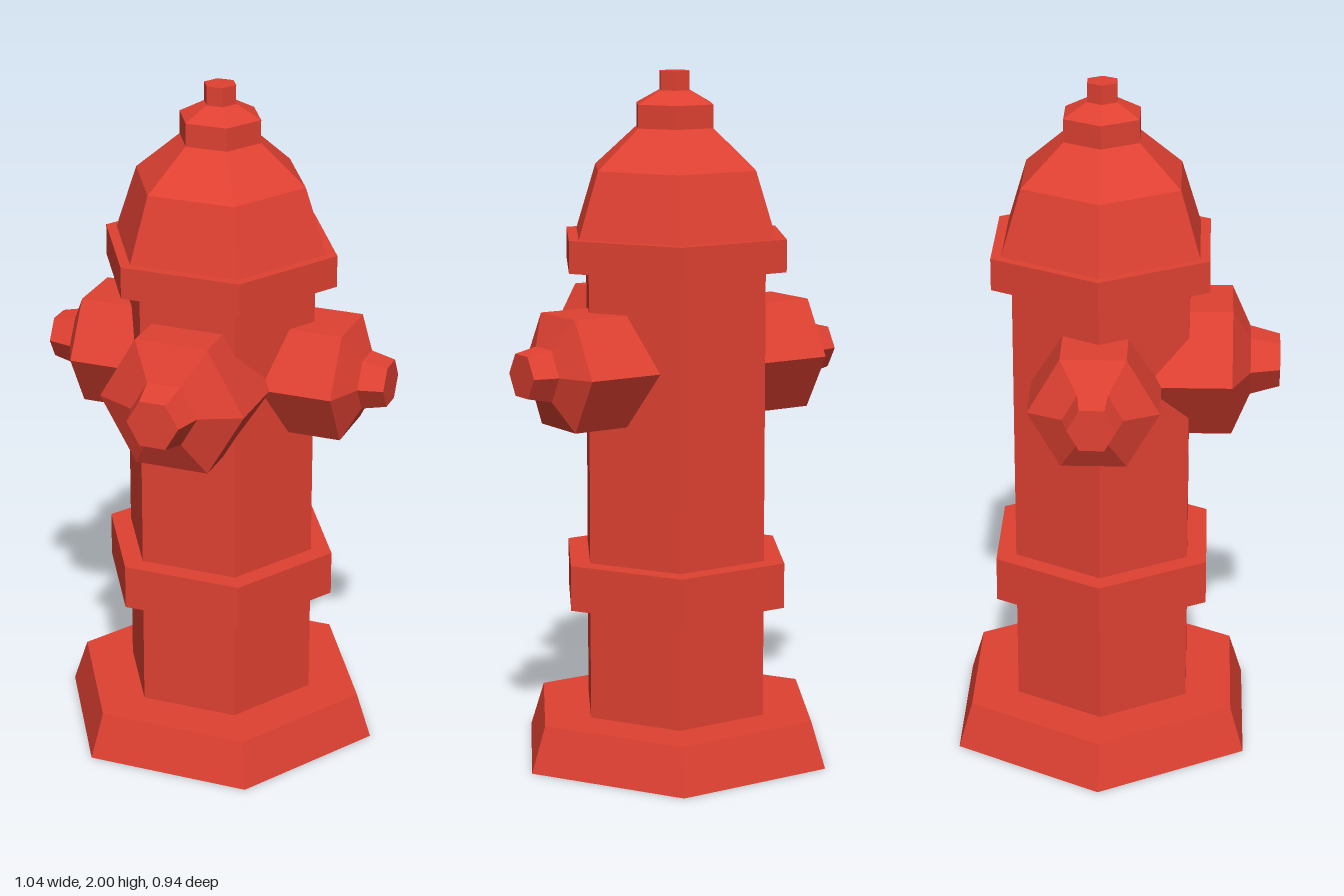
import * as THREE from 'three';

const AXIS_Z = -0.045; // the barrel stands slightly behind the origin
const HEX = Math.PI / 6; // turns hexagon corners onto the x axis

// Faceted six-sided solid from [radius, height] pairs, listed bottom to top
function hexSolid(profile, phiStart) {
  const points = profile.map(([r, y]) => new THREE.Vector2(r, y));
  const lathe = new THREE.LatheGeometry(points, 6, phiStart);
  const geometry = lathe.toNonIndexed();
  geometry.computeVertexNormals();
  return geometry;
}

export function createModel() {
  const model = new THREE.Group();
  model.name = 'fireHydrant';
  const red = new THREE.MeshStandardMaterial({ color: 0xe04132 });
  red.name = 'hydrantRed';

  function add(parent, name, profile, phiStart = HEX) {
    const mesh = new THREE.Mesh(hexSolid(profile, phiStart), red);
    mesh.name = name;
    parent.add(mesh);
    return mesh;
  }

  // Upright parts, stacked on the barrel axis
  const upright = new THREE.Group();
  upright.name = 'column';
  upright.position.z = AXIS_Z;
  model.add(upright);
  add(upright, 'base', [[0, 0], [0.49, 0], [0.445, 0.135], [0, 0.135]]);
  add(upright, 'barrel', [[0.29, 0.13], [0.29, 1.45]]);
  add(upright, 'lowerFlange', [[0.28, 0.465], [0.355, 0.465], [0.355, 0.597], [0.28, 0.597]]);
  add(upright, 'upperFlange', [[0.28, 1.442], [0.355, 1.442], [0.355, 1.535], [0, 1.535]]);
  add(upright, 'bonnet', [[0.322, 1.535], [0.258, 1.725], [0.123, 1.84], [0, 1.84]]);
  add(upright, 'bonnetCap', [[0.123, 1.838], [0.123, 1.907], [0.05, 1.945], [0, 1.945]]);
  add(upright, 'operatingNut', [[0.048, 1.94], [0.048, 2], [0, 2]]);

  // Side outlets, mirrored left and right
  for (const [name, side] of [['leftOutlet', 1], ['rightOutlet', -1]]) {
    const outlet = new THREE.Group();
    outlet.name = name;
    outlet.position.set(0, 1.166, -0.057);
    outlet.rotation.z = -side * Math.PI / 2;
    add(outlet, name + 'Cap', [[0.185, 0.1], [0.185, 0.4], [0.085, 0.447]], 0);
    add(outlet, name + 'Nut', [[0.085, 0.447], [0.069, 0.519], [0, 0.519]], 0);
    model.add(outlet);
  }

  // Larger front outlet
  const front = new THREE.Group();
  front.name = 'frontOutlet';
  front.position.set(0, 1.167, 0);
  front.rotation.x = Math.PI / 2;
  add(front, 'frontOutletCap', [[0.217, 0.02], [0.217, 0.329], [0.1, 0.382]]);
  add(front, 'frontOutletNut', [[0.1, 0.382], [0.077, 0.467], [0, 0.467]]);
  model.add(front);

  return model;
}
